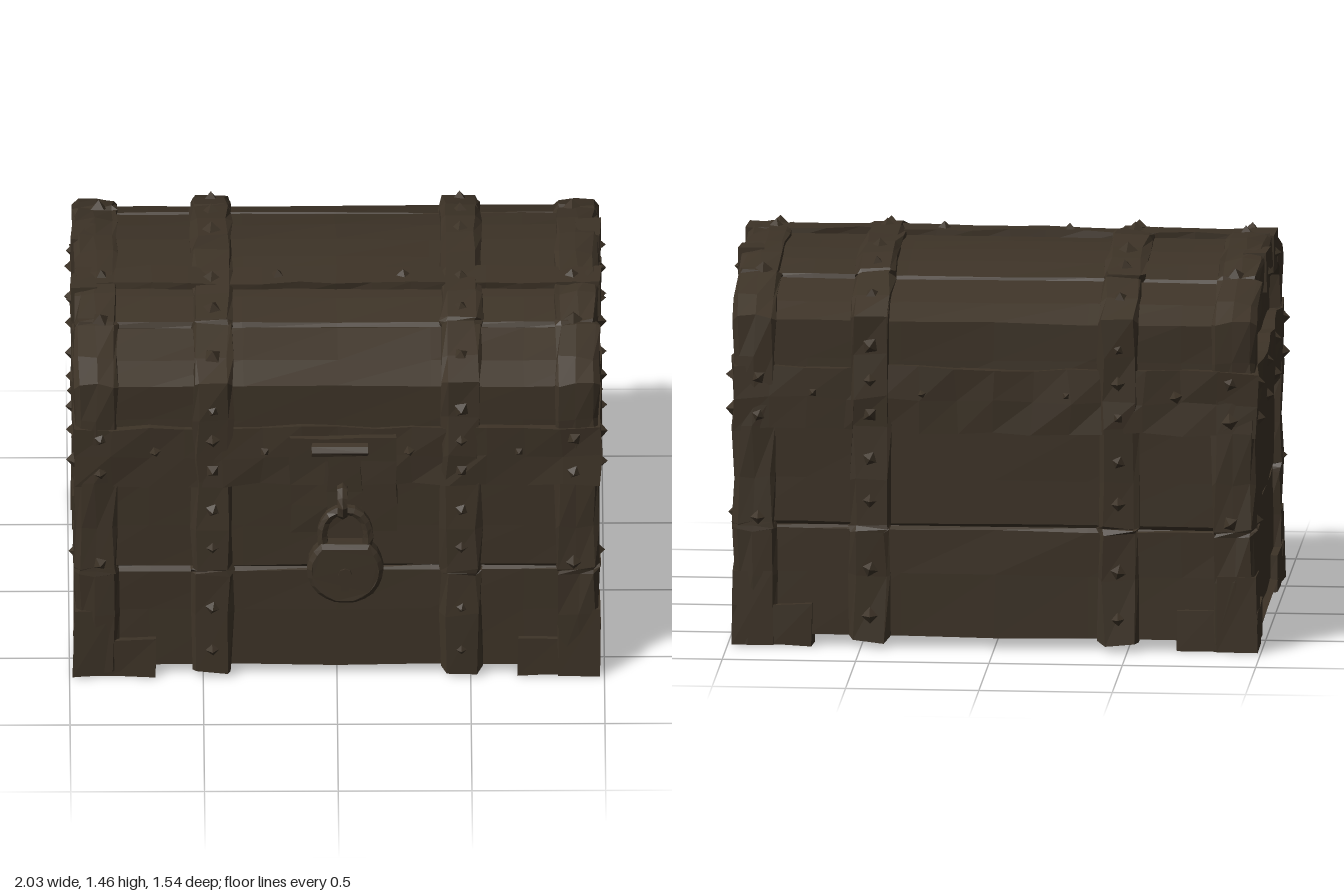
import * as THREE from 'three';

const darkWood = new THREE.MeshStandardMaterial({ color: 0x3d3327 });

// Repeatable noise from a position, so that shared corners move together
function noise(x, y, z, k) {
  const s = Math.sin(Math.round(x * 500) * 12.99 + Math.round(y * 500) * 78.23 + Math.round(z * 500) * 37.72 + k * 53.1) * 43758.55;
  return (s - Math.floor(s)) * 2 - 1;
}

// Hand-hewn look: jitter the corners, then facet the faces
function hewn(geo, amount) {
  const p = geo.attributes.position;
  for (let i = 0; i < p.count; i++) {
    const x = p.getX(i), y = p.getY(i), z = p.getZ(i);
    p.setXYZ(i, x + amount * noise(x, y, z, 1), y + amount * noise(x, y, z, 2), z + amount * noise(x, y, z, 3));
  }
  const flat = geo.index ? geo.toNonIndexed() : geo;
  flat.computeVertexNormals();
  return flat;
}

function add(parent, name, geo, amount = 0) {
  const mesh = new THREE.Mesh(hewn(geo, amount), darkWood);
  mesh.name = name;
  parent.add(mesh);
  return mesh;
}

// Box given by its limits
function box(parent, name, [x0, x1], [y0, y1], [z0, z1], amount = 0.005, seg = [1, 1, 1]) {
  const geo = new THREE.BoxGeometry(x1 - x0, y1 - y0, z1 - z0, ...seg);
  geo.translate((x0 + x1) / 2, (y0 + y1) / 2, (z0 + z1) / 2);
  return add(parent, name, geo, amount);
}

// Chest cross-section: straight walls and an arched lid, as [z, y] points
const RISE = [0, 0.2, 0.34, 0.35, 0.36, 0.5, 0.66, 0.75, 0.88, 1];
const ARC = [0.85, 0.64, 0.62, 0.6, 0.4, 0.2, 0];
const arch = (t) => 1 - Math.pow(Math.abs(t), 2.4);
function outline(hw, y0, ys, yt, groove = 0) {
  const half = [
    ...RISE.map((r, k) => [hw - (k === 3 ? groove : 0), y0 + (ys - y0) * r]),
    ...ARC.map((t, k) => [hw * t, ys + (yt - ys) * arch(t) - (k === 2 ? groove : 0)]),
  ];
  const back = half.slice(0, -1).reverse().map(([z, y]) => [-z, y]);
  return [...half, ...back];
}

// Skin through loops of [x, outline]
function loft(loops) {
  const n = loops[0][1].length, pos = [], idx = [];
  for (const [x, pts] of loops) for (const [z, y] of pts) pos.push(x, y, z);
  for (let i = 0; i < loops.length - 1; i++) {
    for (let j = 0; j < n; j++) {
      const a = i * n + j, b = i * n + (j + 1) % n;
      idx.push(a, a + n, b + n, a, b + n, b);
    }
  }
  const geo = new THREE.BufferGeometry();
  geo.setAttribute('position', new THREE.Float32BufferAttribute(pos, 3));
  geo.setIndex(idx);
  return geo;
}

// Four-sided stud pointing along a direction
function stud(parent, x, y, z, dir, r = 0.036) {
  const geo = new THREE.ConeGeometry(r, 0.034, 4);
  geo.translate(0, 0.008, 0);
  geo.rotateY(x * 5 + y * 7);
  const mesh = add(parent, 'stud', geo);
  mesh.position.set(x, y, z);
  mesh.quaternion.setFromUnitVectors(new THREE.Vector3(0, 1, 0), new THREE.Vector3(...dir).normalize());
}

function buildEnd(parent) {
  // Arched frame wrapping the end
  const rim = (d) => outline(0.675 + d, 0.04 - d, 1.24 + d, 1.415 + d);
  const opening = outline(0.525, 0.055, 1.2, 1.32);
  add(parent, 'endFrame', loft([
    [0.82, rim(-0.03)], [0.82, rim(0.008)], [0.832, rim(0.017)], [0.9, rim(0.019)], [0.962, rim(0.017)],
    [0.98, rim(0)], [0.98, opening], [0.93, opening],
  ]), 0.009);
  // Wall planks with a seam between them
  box(parent, 'endPlank', [0.92, 0.955], [0.06, 0.458], [-0.54, 0.54], 0.004, [1, 2, 6]);
  box(parent, 'endPlank', [0.92, 0.957], [0.472, 0.85], [-0.54, 0.54], 0.004, [1, 2, 6]);
  // Clasps at the top of the arch
  for (const z of [0.165, -0.2]) {
    box(parent, 'archClasp', [0.9, 0.99], [1.28, 1.425], [z - 0.058, z + 0.058], 0.007);
    stud(parent, 0.985, 1.345, z, [1, 0, 0]);
  }
  for (const z of [0.62, 0.2, -0.2, -0.6]) {
    stud(parent, 0.988, 1.015, z, [1, 0, 0]);
    stud(parent, 0.988, 0.885, z, [1, 0, 0]);
  }
  for (const z of [0.6, -0.6]) stud(parent, 0.978, 0.49, z, [1, 0, 0]);
}

function buildLock(parent) {
  const lock = new THREE.Group();
  lock.name = 'lock';
  lock.position.x = 0.03;
  parent.add(lock);
  box(lock, 'lockPlate', [-0.2, 0.19], [0.63, 0.86], [0.6, 0.652], 0.006, [3, 2, 1]);
  box(lock, 'lockPlateTop', [-0.21, 0.19], [0.84, 1.035], [0.6, 0.664], 0.006, [3, 2, 1]);
  box(lock, 'haspStrap', [-0.065, 0.06], [0.72, 1.0], [0.63, 0.677], 0.005, [1, 3, 1]);
  const pin = new THREE.CylinderGeometry(0.026, 0.026, 0.21, 7);
  pin.rotateZ(Math.PI / 2);
  add(lock, 'haspPin', pin, 0.003).position.set(-0.02, 0.995, 0.672);

  // Staple holding the padlock
  const staple = new THREE.TorusGeometry(0.05, 0.021, 6, 10);
  staple.rotateY(Math.PI / 2);
  add(lock, 'staple', staple, 0.003).position.set(-0.01, 0.785, 0.69);

  // Padlock shackle and body
  const path = new THREE.CatmullRomCurve3([[-0.08, 0.59], [-0.085, 0.68], [-0.055, 0.745], [0, 0.765], [0.055, 0.745], [0.085, 0.68], [0.08, 0.59]]
    .map(([x, y]) => new THREE.Vector3(x, y, 0.722)));
  add(lock, 'shackle', new THREE.TubeGeometry(path, 14, 0.021, 6), 0.002);
  const disc = new THREE.Shape();
  disc.absarc(0, 0, 0.127, 0.85, Math.PI - 0.85, true);
  const body = new THREE.ExtrudeGeometry(disc, { depth: 0.046, bevelSize: 0.016, bevelThickness: 0.016, bevelSegments: 1, curveSegments: 9 });
  add(lock, 'padlock', body, 0.002).position.set(0, 0.515, 0.697);
  const eye = new THREE.CylinderGeometry(0.026, 0.026, 0.008, 8);
  eye.rotateX(Math.PI / 2);
  add(lock, 'keyholeTop', eye).position.set(0, 0.505, 0.76);
  box(lock, 'keyholeSlot', [-0.015, 0.015], [0.435, 0.5], [0.756, 0.764], 0);
}

export function createModel() {
  const model = new THREE.Group();
  model.name = 'treasureChest';
  const chest = new THREE.Group();
  chest.name = 'chest';
  chest.position.z = -0.05;
  model.add(chest);

  // Wooden body and lid, with seams between planks
  const wood = outline(0.675, 0.04, 1.24, 1.412, 0.014);
  const centre = wood.map(() => [0, 0.7]);
  add(chest, 'woodBody', loft([
    [-0.94, centre], ...[-0.94, -0.7, -0.35, 0, 0.35, 0.7, 0.94].map((x) => [x, wood]), [0.94, centre],
  ]), 0.004);

  // Band around the seam of the lid
  box(chest, 'rimBand', [-0.985, 0.985], [0.825, 1.07], [-0.695, 0.695], 0.01, [14, 2, 10]);

  // Two straps around the whole chest, with studs
  const strap = (d) => outline(0.675 + d, 0.045 - d, 1.24 + d, 1.412 + d);
  for (const x of [-0.465, 0.465]) {
    add(chest, 'strap', loft([
      [x - 0.075, strap(-0.03)], [x - 0.075, strap(0.012)], [x - 0.058, strap(0.026)],
      [x + 0.058, strap(0.026)], [x + 0.075, strap(0.012)], [x + 0.075, strap(-0.03)],
    ]), 0.01);
    for (const s of [-1, 1]) {
      for (const y of [0.12, 0.3, 0.56, 0.72, 0.89, 1.02, 1.15]) stud(chest, x, y, s * 0.7, [0, 0, s]);
      for (const t of [0.26, 0.52, 0.84]) {
        stud(chest, x, 1.268 + 0.172 * arch(t), s * 0.7 * t, [0, 1, s * 0.6 * t]);
      }
    }
  }

  // Long strip across the top of the lid
  const strip = box(chest, 'lidStrip', [-0.97, 0.97], [-0.025, 0.017], [-0.057, 0.057], 0.006, [14, 1, 1]);
  strip.position.set(0, 1.412, 0.165);
  strip.rotation.x = 0.08;
  for (const x of [-0.88, -0.22, 0.25, 0.88]) stud(chest, x, 1.428, 0.165, [0, 1, 0.08]);

  // Ends, the second one turned around
  for (const turn of [0, Math.PI]) {
    const end = new THREE.Group();
    end.name = turn ? 'rightEnd' : 'leftEnd';
    end.rotation.y = turn;
    chest.add(end);
    buildEnd(end);
  }

  // Corner brackets that also serve as feet
  const span = (s, a, b) => (s > 0 ? [a, b] : [-b, -a]);
  for (const sx of [-1, 1]) {
    for (const sz of [-1, 1]) {
      const corner = new THREE.Group();
      corner.name = 'cornerBracket';
      chest.add(corner);
      box(corner, 'bracketPost', span(sx, 0.83, 0.984), [0.004, 0.285], span(sz, 0.54, 0.696), 0.006);
      box(corner, 'bracketFront', span(sx, 0.68, 0.982), [0.004, 0.16], span(sz, 0.62, 0.694), 0.006, [2, 1, 1]);
      box(corner, 'bracketSide', span(sx, 0.92, 0.982), [0.004, 0.15], span(sz, 0.39, 0.694), 0.006, [1, 1, 2]);
      box(corner, 'bracketFoot', span(sx, 0.7, 0.975), [0.003, 0.06], span(sz, 0.42, 0.688), 0.003);
      for (const y of [0.49, 0.88, 1.025]) stud(corner, sx * 0.885, y, sz * 0.697, [0, 0, sz]);
      stud(corner, sx * 0.885, 1.268 + 0.17 * arch(0.6), sz * 0.42, [0, 1, sz * 0.35]);
    }
  }
  // Studs along the front and back of the rim band
  for (const s of [-1, 1]) {
    for (const x of [-0.68, -0.27, 0.27, 0.68]) stud(chest, x, 0.97, s * 0.692, [0, 0, s], 0.03);
  }

  buildLock(model);
  return model;
}
